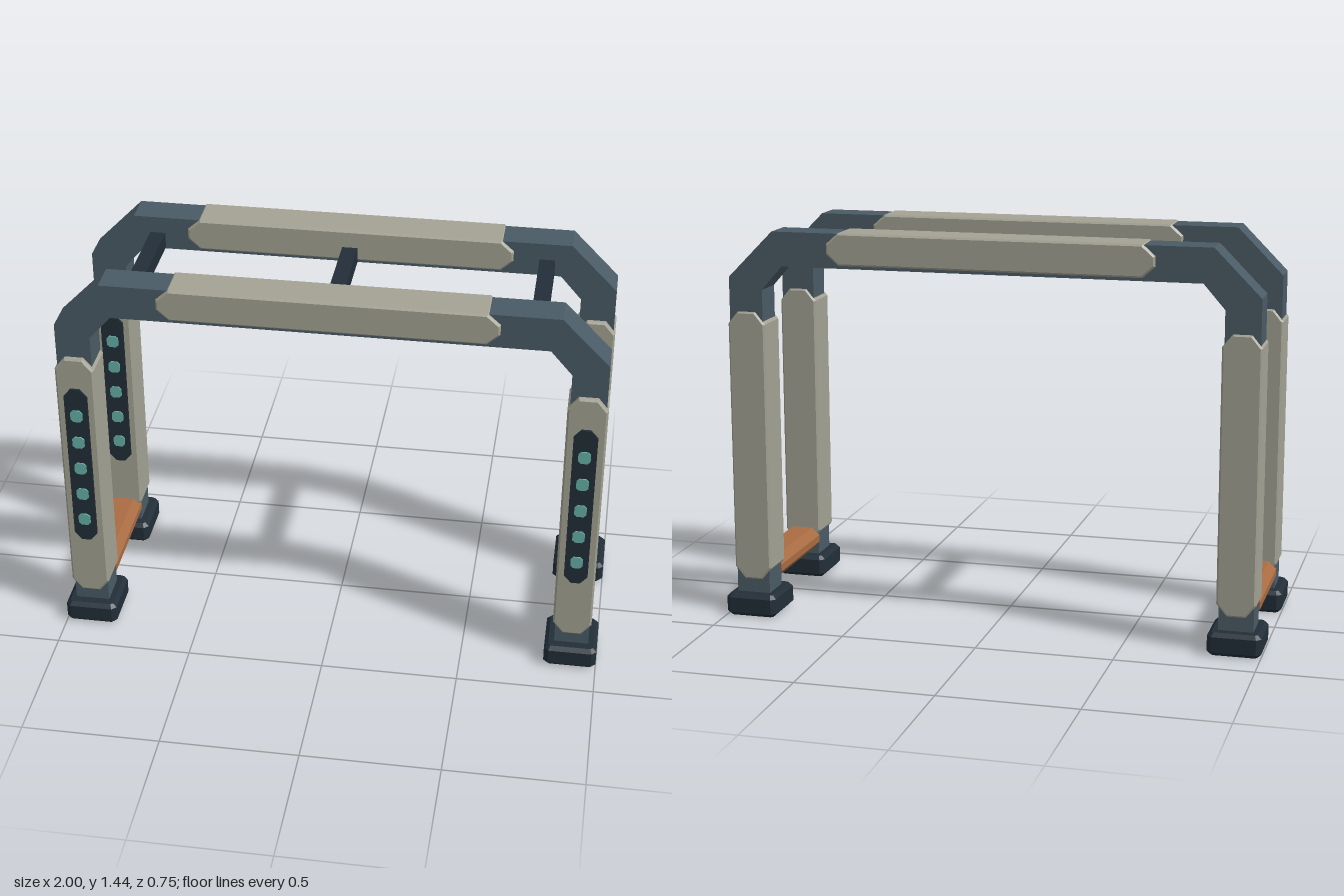
import * as THREE from 'three';

const mat = (name, color) => {
  const m = new THREE.MeshStandardMaterial({ color });
  m.name = name;
  return m;
};

const polygon = (points) => new THREE.Shape(points.map(([x, y]) => new THREE.Vector2(x, y)));

// Rectangle with cut corners, extruded along z and centred, with a bevelled rim
function cutBlock(w, h, d, cutX, cutY, bevel = 0) {
  const x = w / 2, y = h / 2;
  const shape = polygon([
    [-x + cutX, -y], [x - cutX, -y], [x, -y + cutY], [x, y - cutY],
    [x - cutX, y], [-x + cutX, y], [-x, y - cutY], [-x, -y + cutY],
  ]);
  const geo = new THREE.ExtrudeGeometry(shape, {
    depth: d - 2 * bevel, bevelEnabled: bevel > 0, bevelSegments: 1,
    bevelSize: bevel, bevelThickness: bevel, bevelOffset: -bevel,
  });
  return geo.translate(0, 0, -d / 2 + bevel);
}

export function createModel() {
  const frameMat = mat('slate frame', 0x4a5b65);
  const panelMat = mat('warm grey panel', 0xa3a293);
  const darkMat = mat('dark rubber', 0x222e38);
  const braceMat = mat('copper brace', 0xa96c43);
  const lightMat = mat('teal light', 0x66b0a8);

  const model = new THREE.Group();
  model.name = 'archway';
  const add = (parent, name, geo, material, x, y, z) => {
    const mesh = new THREE.Mesh(geo, material);
    mesh.name = name;
    mesh.position.set(x, y, z);
    parent.add(mesh);
    return mesh;
  };

  const legX = 0.904, archZ = 0.268;

  // Arch outline: right half from outer foot to inner foot, mirrored for the left
  const outer = [[0.968, 0.03], [0.968, 1.27], [0.8, 1.44]];
  const inner = [[0.765, 1.315], [0.842, 1.227], [0.842, 0.03]];
  const flip = (pts) => pts.map(([x, y]) => [-x, y]).reverse();
  const archGeo = new THREE.ExtrudeGeometry(
    polygon([...outer, ...flip(outer), ...flip(inner), ...inner]),
    { depth: 0.122, bevelEnabled: false },
  ).translate(0, 0, -0.061);

  const beamGeo = cutBlock(1.19, 0.117, 0.147, 0.045, 0.04, 0.007);
  const legGeo = cutBlock(0.141, 1.01, 0.147, 0.037, 0.045, 0.007);
  const stripGeo = cutBlock(0.085, 0.65, 0.009, 0.026, 0.03);
  const lightGeo = cutBlock(0.044, 0.047, 0.006, 0.01, 0.01);
  const footGeo = cutBlock(0.193, 0.213, 0.084, 0.017, 0.017, 0.014).rotateX(-Math.PI / 2);

  for (const [label, z] of [['front', archZ], ['back', -archZ]]) {
    const arch = new THREE.Group();
    arch.name = label + 'Arch';
    arch.position.z = z;
    model.add(arch);
    add(arch, 'archFrame', archGeo, frameMat, 0, 0, 0);
    add(arch, 'beamPanel', beamGeo, panelMat, -0.003, 1.385, 0);

    for (const side of [-1, 1]) {
      const leg = new THREE.Group();
      leg.name = side > 0 ? 'leftLeg' : 'rightLeg';
      leg.position.x = side * legX;
      arch.add(leg);
      add(leg, 'legPanel', legGeo, panelMat, 0, 0.64, 0.006);
      add(leg, 'foot', footGeo, darkMat, 0, 0.042, 0);
      // Light strip on the front face of the leg
      add(leg, 'lightStrip', stripGeo, darkMat, 0, 0.7, 0.0835);
      for (let i = 0; i < 5; i++) {
        add(leg, 'light', lightGeo, lightMat, 0, 0.468 + i * 0.112, 0.09);
      }
    }
  }

  // Rods between the top beams
  const rodGeo = new THREE.BoxGeometry(0.056, 0.058, 0.44);
  for (const x of [-0.713, 0, 0.713]) add(model, 'topRod', rodGeo, darkMat, x, 1.349, 0);

  // Braces between the feet of each side
  const braceGeo = cutBlock(0.134, 0.087, 0.42, 0.027, 0.03);
  for (const side of [-1, 1]) add(model, 'footBrace', braceGeo, braceMat, side * 0.906, 0.147, 0);

  return model;
}
